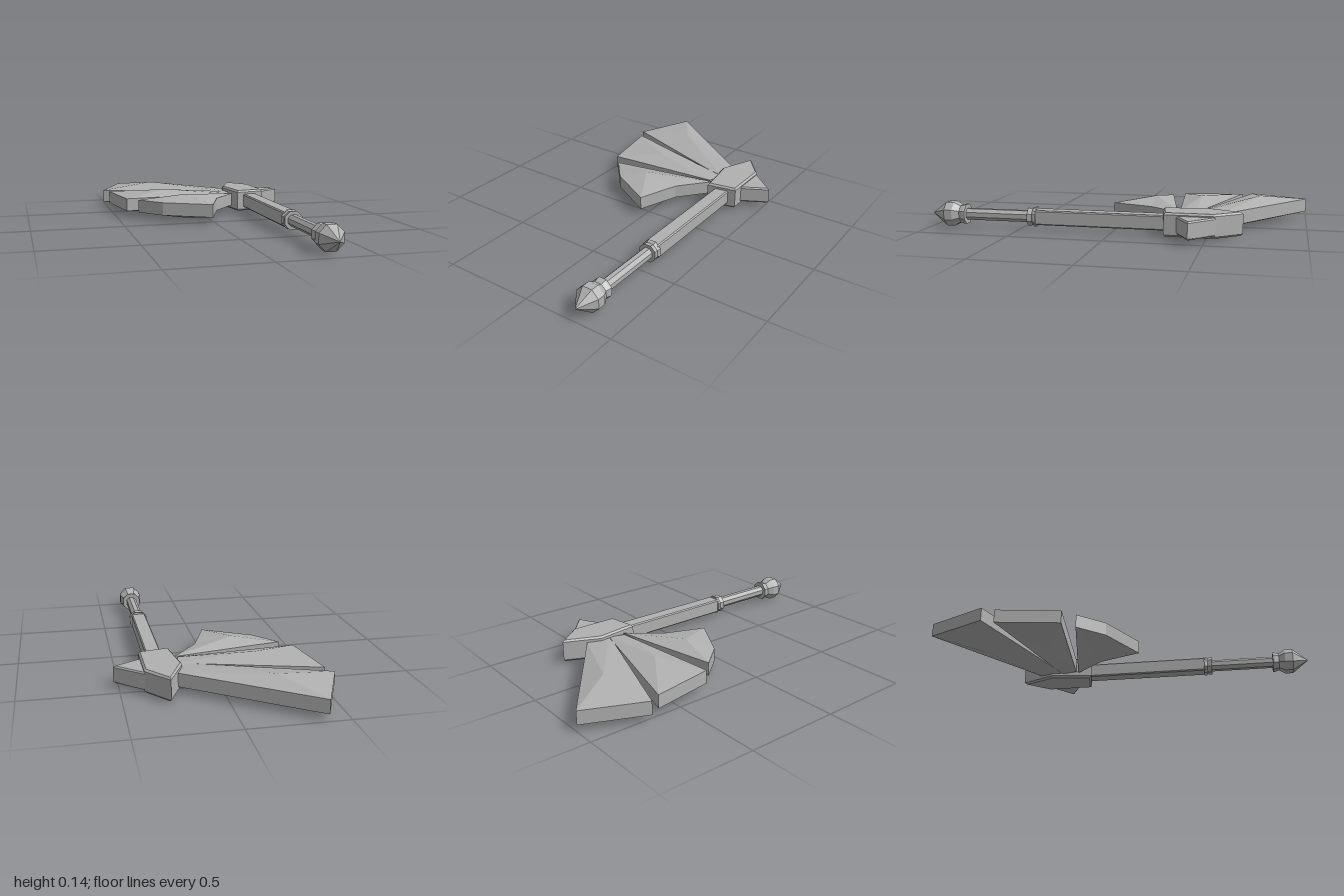
import * as THREE from 'three';

const MID = 0.073; // height of the flat symmetry plane
const AXIS = 0.302; // x of the handle axis

// Faceted copy of a geometry
function faceted(geometry) {
  const g = geometry.index ? geometry.toNonIndexed() : geometry;
  g.computeVertexNormals();
  return g;
}

// Bevelled slab from an [x, z] outline, centred on the symmetry plane
function slab(outline, height, bevel) {
  const shape = new THREE.Shape(outline.map(([x, z]) => new THREE.Vector2(x, z)));
  const g = new THREE.ExtrudeGeometry(shape, {
    depth: height - 2 * bevel, bevelEnabled: true, bevelSegments: 1,
    bevelSize: bevel, bevelThickness: bevel, bevelOffset: -bevel,
  });
  g.translate(0, 0, -(height / 2 - bevel));
  g.rotateX(Math.PI / 2);
  g.translate(0, MID, 0);
  return faceted(g);
}

// Eight-sided turned part along the handle from [radius, z] points
function turned(profile) {
  const points = profile.map(([r, z]) => new THREE.Vector2(r / Math.cos(Math.PI / 8), z));
  const g = new THREE.LatheGeometry(points, 8, Math.PI / 8);
  g.rotateX(Math.PI / 2);
  g.translate(AXIS, MID, 0);
  return faceted(g);
}

// Feather-like blade: upright rim walls with a raised peak above and below
function blade(outline, [px, pz], rise) {
  const half = 0.036, v = [];
  outline.forEach(([ax, az], i) => {
    const [bx, bz] = outline[(i + 1) % outline.length];
    const lo = MID - half, hi = MID + half;
    v.push(px, MID + rise, pz, ax, hi, az, bx, hi, bz);
    v.push(px, MID - rise, pz, bx, lo, bz, ax, lo, az);
    v.push(ax, lo, az, bx, lo, bz, bx, hi, bz, ax, lo, az, bx, hi, bz, ax, hi, az);
  });
  const g = new THREE.BufferGeometry();
  g.setAttribute('position', new THREE.Float32BufferAttribute(v, 3));
  return faceted(g);
}

export function createModel() {
  const group = new THREE.Group();
  group.name = 'axe';
  const steel = new THREE.MeshStandardMaterial({ color: 0xb0b0b0 });
  steel.name = 'grey steel';
  const add = (name, geometry) => {
    const mesh = new THREE.Mesh(geometry, steel);
    mesh.name = name;
    group.add(mesh);
  };

  // Fan of three blades
  add('rearBlade', blade(
    [[-0.39, -1], [-0.53, -0.685], [0.12, -0.455], [0.21, -0.435], [0.225, -0.56]],
    [-0.22, -0.745], 0.072));
  add('middleBlade', blade(
    [[-0.5, -0.627], [-0.443, -0.288], [0.188, -0.345], [0.21, -0.43], [0.12, -0.455]],
    [-0.195, -0.42], 0.066));
  add('frontBlade', blade(
    [[-0.385, -0.225], [-0.27, -0.087], [-0.018, 0.055], [0.066, -0.17], [0.207, -0.337]],
    [-0.135, -0.17], 0.068));

  // Head block and the spike opposite the blades
  add('head', slab(
    [[0.275, -0.68], [0.385, -0.547], [0.385, -0.29], [0.222, -0.262], [0.19, -0.49]], 0.123, 0.01));
  add('backSpike', slab(
    [[0.36, -0.57], [0.525, -0.43], [0.36, -0.342]], 0.092, 0.008));

  // Handle
  add('shaft', slab(
    [[AXIS - 0.04, -0.3], [AXIS + 0.04, -0.3], [AXIS + 0.04, 0.41], [AXIS - 0.04, 0.41]], 0.078, 0.006));
  add('grip', turned([[0, 0.4], [0.03, 0.4], [0.03, 0.83], [0, 0.83]]));
  add('upperCollar', turned(
    [[0, 0.4], [0.05, 0.4], [0.05, 0.41], [0.044, 0.42], [0.048, 0.445], [0, 0.445]]));
  add('lowerCollar', turned(
    [[0, 0.797], [0.052, 0.797], [0.052, 0.808], [0.044, 0.835], [0, 0.835]]));
  add('pommel', turned([[0, 0.83], [0.044, 0.83], [0.064, 0.866], [0.064, 0.91], [0, 1]]));

  return group;
}
